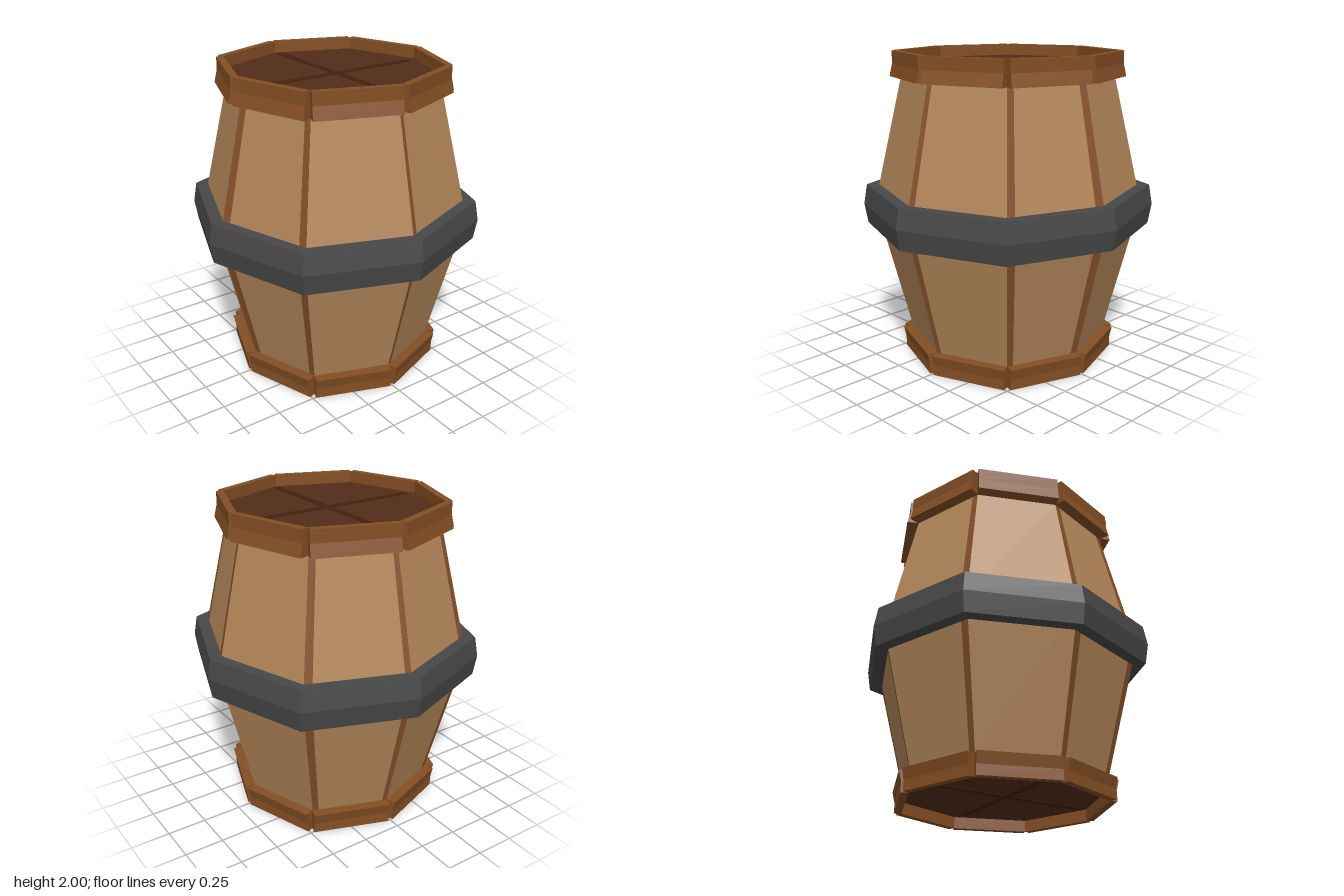
import * as THREE from 'three';

// Eight corners of the barrel's outline (x, z), from the front round to its left
const X = 0.983, D = 0.73;
const CORNERS = [[0, 1], [D, D], [X, 0], [D, -D], [0, -1], [-D, -D], [-X, 0], [-D, D]];

const paint = (color) => new THREE.MeshStandardMaterial({ color, flatShading: true });
const staveWood = paint(0xb4875a);
const seamWood = paint(0x85502a);
const rimWood = paint(0x854f24);
const lidWood = paint(0x522c18);
const lidSeam = paint(0x431f10);
const iron = paint(0x484848);

// Point on side i (0..7), a fraction f along it, at radius r and height y
function sidePoint(i, f, r, y) {
  const a = CORNERS[i], b = CORNERS[(i + 1) % 8];
  return [r * (a[0] + (b[0] - a[0]) * f), y, r * (a[1] + (b[1] - a[1]) * f)];
}

// Sweeps a [radius, height] profile over part of one side as flat quads
function sweepSide(out, i, f0, f1, profile) {
  for (let k = 0; k < profile.length - 1; k++) {
    const [r0, y0] = profile[k], [r1, y1] = profile[k + 1];
    const a = sidePoint(i, f0, r0, y0), b = sidePoint(i, f1, r0, y0);
    const c = sidePoint(i, f1, r1, y1), d = sidePoint(i, f0, r1, y1);
    out.push(...a, ...b, ...c, ...a, ...c, ...d);
  }
}

function meshFrom(positions, material, name) {
  const geo = new THREE.BufferGeometry();
  geo.setAttribute('position', new THREE.Float32BufferAttribute(positions, 3));
  geo.computeVertexNormals();
  const mesh = new THREE.Mesh(geo, material);
  mesh.name = name;
  return mesh;
}

// Eight square-ended planks that touch at their inner corners
function makeRim(name, radius, section) {
  const rim = new THREE.Group();
  rim.name = name;
  const shape = new THREE.Shape(section.map(([t, y]) => new THREE.Vector2(t, y)));
  const up = new THREE.Vector3(0, 1, 0);
  for (let i = 0; i < 8; i++) {
    const a = new THREE.Vector3(...sidePoint(i, 0, radius, 0));
    const b = new THREE.Vector3(...sidePoint(i, 1, radius, 0));
    const along = a.clone().sub(b);
    const depth = along.length();
    along.normalize();
    const geo = new THREE.ExtrudeGeometry(shape, { depth, bevelEnabled: false });
    const outward = up.clone().cross(along);
    geo.applyMatrix4(new THREE.Matrix4().makeBasis(outward, up, along).setPosition(b));
    const plank = new THREE.Mesh(geo, rimWood);
    plank.name = 'rimPlank';
    rim.add(plank);
  }
  return rim;
}

// Flat end disc with two crossing seams; dir is +1 facing up, -1 facing down
function makeEnd(name, radius, y, dir) {
  const end = new THREE.Group();
  end.name = name;
  const shape = new THREE.Shape(CORNERS.map(([x, z]) => new THREE.Vector2(x * radius, -z * radius)));
  const geo = new THREE.ShapeGeometry(shape);
  geo.rotateX(-Math.PI / 2);
  if (dir < 0) geo.rotateZ(Math.PI);
  const board = new THREE.Mesh(geo, lidWood);
  board.name = 'endBoard';
  board.position.y = y;
  end.add(board);
  const seams = [[radius * 1.76, 0.05, -0.01, 0.028], [0.045, radius * 1.9, 0.012, 0]];
  for (const [w, l, x, z] of seams) {
    const seam = new THREE.Mesh(new THREE.BoxGeometry(w, 0.004, l), lidSeam);
    seam.name = 'endSeam';
    seam.position.set(x, y + dir * 0.001, z);
    end.add(seam);
  }
  return end;
}

export function createModel() {
  const barrel = new THREE.Group();
  barrel.name = 'barrel';

  // Staves, with a darker seam along one side of every corner
  const body = [[0.62, 0.09], [0.632, 0.135], [0.85, 1], [0.66, 1.84], [0.642, 1.92]];
  const seamStart = { 0: 0.06, 1: 0.08, 3: 0.08, 6: 0.09 };
  const seamEnd = { 1: 0.09, 3: 0.06, 4: 0.08, 6: 0.08 };
  const staves = [], seams = [];
  for (let i = 0; i < 8; i++) {
    const s = seamStart[i] || 0, e = 1 - (seamEnd[i] || 0);
    sweepSide(staves, i, s, e, body);
    if (s > 0) sweepSide(seams, i, 0, s, body);
    if (e < 1) sweepSide(seams, i, e, 1, body);
  }
  barrel.add(meshFrom(staves, staveWood, 'staves'), meshFrom(seams, seamWood, 'staveSeams'));

  // Iron band round the belly
  const hoop = [[0.8, 0.87], [0.9, 0.87], [0.922, 1], [0.9, 1.13], [0.8, 1.13]];
  const band = [];
  for (let i = 0; i < 8; i++) sweepSide(band, i, 0, 1, hoop);
  barrel.add(meshFrom(band, iron, 'ironBand'));

  // Plank rims, flared towards the belly
  barrel.add(makeRim('topRim', 0.67, [
    [-0.04, 1.84], [0.065, 1.84], [0.046, 1.92], [0.046, 2], [0, 2], [0, 1.915], [-0.04, 1.9]]));
  barrel.add(makeRim('bottomRim', 0.635, [
    [-0.04, 0.135], [-0.04, 0.1], [0, 0.085], [0, 0], [0.046, 0], [0.046, 0.065], [0.062, 0.135]]));

  // Recessed lid and base
  barrel.add(makeEnd('lid', 0.672, 1.925, 1), makeEnd('base', 0.637, 0.075, -1));
  return barrel;
}
